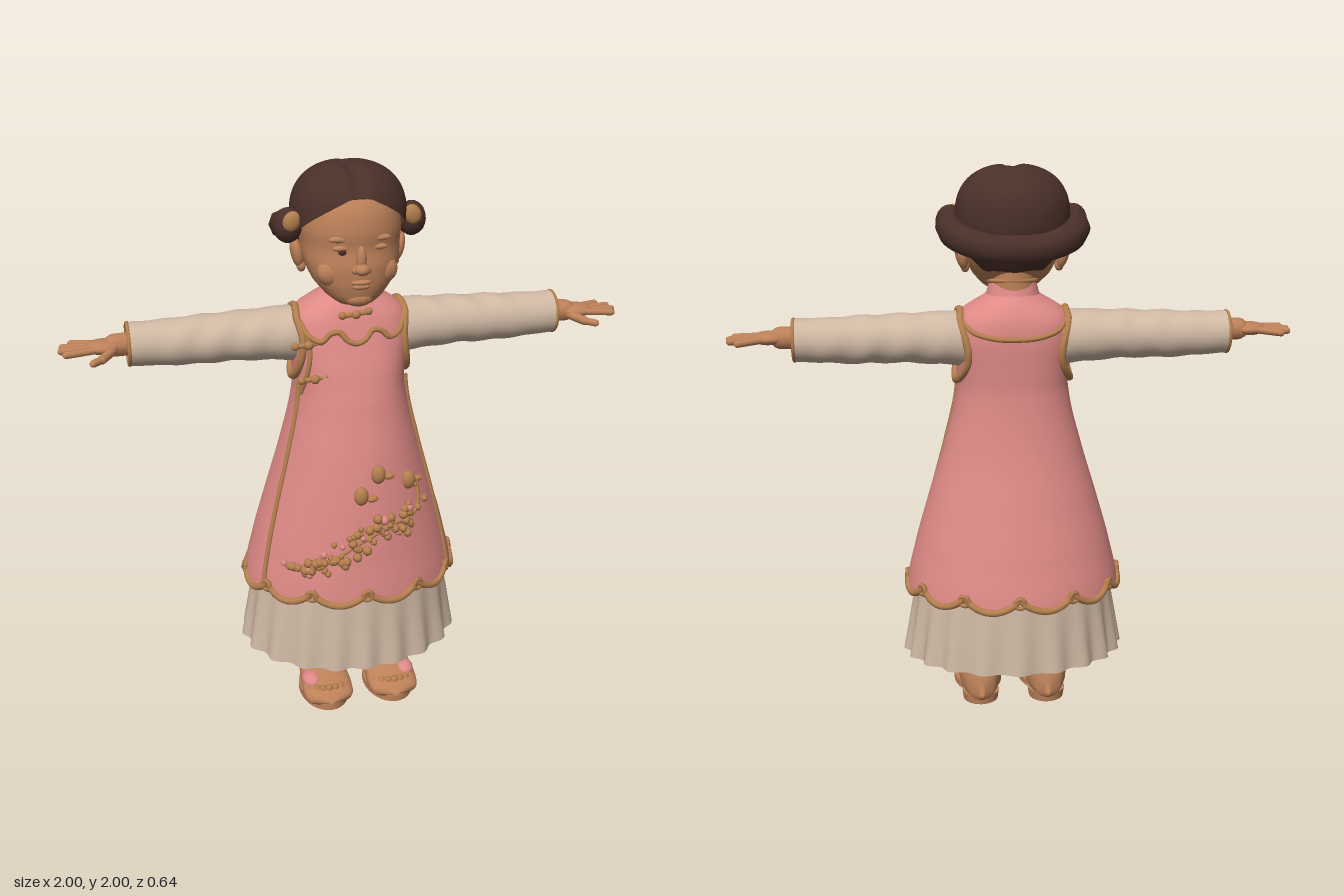
import * as THREE from 'three';

const mat = (name, color, side = THREE.FrontSide) => {
  const m = new THREE.MeshStandardMaterial({ color, side });
  m.name = name;
  return m;
};

// Smooth surface closed in u: fn(angle, v) -> [x, y, z]
function skin(fn, nu, nv) {
  const pos = [], idx = [];
  for (let j = 0; j <= nv; j++)
    for (let i = 0; i < nu; i++) pos.push(...fn(i / nu * Math.PI * 2, j / nv));
  for (let j = 0; j < nv; j++)
    for (let i = 0; i < nu; i++) {
      const k = (i + 1) % nu, a = j * nu + i, b = j * nu + k, c = a + nu, d = b + nu;
      idx.push(a, c, b, b, c, d);
    }
  const g = new THREE.BufferGeometry();
  g.setAttribute('position', new THREE.Float32BufferAttribute(pos, 3));
  g.setIndex(idx);
  g.computeVertexNormals();
  return g;
}

// Smoothly interpolated table row; first column is the key, in one direction
function row(rows, key) {
  const dir = Math.sign(rows[1][0] - rows[0][0]);
  let i = 0;
  while (i < rows.length - 2 && (key - rows[i + 1][0]) * dir > 0) i++;
  const f = THREE.MathUtils.clamp((key - rows[i][0]) / (rows[i + 1][0] - rows[i][0]), 0, 1);
  const at = k => rows[Math.max(0, Math.min(rows.length - 1, k))];
  return rows[i].map((a, c) => {
    const b = rows[i + 1][c];
    const m0 = (b - at(i - 1)[c]) / 2, m1 = (at(i + 2)[c] - a) / 2;
    const f2 = f * f, f3 = f2 * f;
    return a * (2 * f3 - 3 * f2 + 1) + m0 * (f3 - 2 * f2 + f) + b * (3 * f2 - 2 * f3) + m1 * (f3 - f2);
  });
}
const pw = (v, e) => Math.sign(v) * Math.abs(v) ** e;

// Dress sections: y, half width, front z, back z, roundness power
const DRESS = [[1.57, .08, .08, .09, 2], [1.54, .115, .09, .115, 2.1], [1.51, .17, .105, .135, 2.3],
  [1.47, .2, .12, .15, 2.6], [1.4, .207, .14, .155, 2.7], [1.3, .2, .172, .152, 2.5], [1.2, .202, .2, .152, 2.3],
  [1, .25, .245, .18, 2.1], [.8, .31, .278, .23, 2], [.6, .365, .3, .28, 2], [.45, .395, .315, .312, 2]];
function dressAt(t, y, out = 0) {
  const [, hx, zf, zb, n] = row(DRESS, y), c = Math.cos(t);
  return [pw(Math.sin(t), 2 / n) * (hx + out), y, pw(c, 2 / n) * ((c > 0 ? zf : zb) + out)];
}
function dressZ(x, y, back) {
  const [, hx, zf, zb, n] = row(DRESS, y);
  const q = Math.max(0, 1 - Math.min(1, Math.abs(x / hx)) ** n) ** (1 / n);
  return back ? -zb * q : zf * q;
}
const hemY = t => .515 - .05 * Math.abs(Math.sin(6 * t)) ** .7;

// Head sections: y, half width, front z, back z
const HEAD = [[1.96, .07, .09, -.09], [1.92, .13, .155, -.14], [1.87, .165, .188, -.16], [1.8, .175, .2, -.16],
  [1.74, .17, .196, -.15], [1.68, .162, .203, -.12], [1.62, .138, .2, -.07], [1.575, .1, .19, -.01],
  [1.548, .062, .172, .05], [1.54, .005, .125, .12]];

export function createModel() {
  const root = new THREE.Group();
  const pink = mat('dress pink', 0xdf8a86, THREE.DoubleSide), cream = mat('cream cloth', 0xcfb8a3, THREE.DoubleSide);
  const tan = mat('ochre trim', 0xb57f4e), flesh = mat('skin', 0xbd8159), hair = mat('hair brown', 0x4a3029, THREE.DoubleSide);
  const lining = mat('skirt lining', 0xa8744f, THREE.DoubleSide);

  const add = (name, geo, m, parent = root) => {
    const mesh = new THREE.Mesh(geo, m);
    mesh.name = name;
    parent.add(mesh);
    return mesh;
  };
  const ball = (name, m, p, r, parent = root, seg = 14) => {
    const b = add(name, new THREE.SphereGeometry(1, seg, Math.ceil(seg * .7)), m, parent);
    b.position.set(...p);
    b.scale.set(...(Array.isArray(r) ? r : [r, r, r]));
    return b;
  };
  const tube = (name, m, pts, r, closed = false, parent = root, seg = pts.length * 6) =>
    add(name, new THREE.TubeGeometry(new THREE.CatmullRomCurve3(pts.map(p => new THREE.Vector3(...p)), closed), seg, r, 8, closed), m, parent);
  const limb = (name, m, a, b, r, parent = root) => {
    const A = new THREE.Vector3(...a), B = new THREE.Vector3(...b), d = B.clone().sub(A);
    const c = add(name, new THREE.CapsuleGeometry(r, d.length(), 5, 10), m, parent);
    c.position.copy(A).add(B).multiplyScalar(.5);
    c.quaternion.setFromUnitVectors(new THREE.Vector3(0, 1, 0), d.normalize());
    return c;
  };

  // Dress with scalloped hem
  add('dress', skin((t, v) => dressAt(t, 1.57 + (hemY(t) - 1.57) * v), 144, 48), pink);
  const hem = Array.from({ length: 144 }, (_, i) => dressAt(i / 144 * Math.PI * 2, hemY(i / 144 * Math.PI * 2)));
  tube('hemTrim', tan, hem, .013, true, root, 288);
  for (let i = 0; i < 12; i++) {
    const t = i * Math.PI / 6, curl = add('hemCurl', new THREE.TorusGeometry(.018, .008, 6, 14), tan);
    curl.position.set(...dressAt(t, .5, .005));
    curl.rotation.y = t;
  }

  // Pleated underskirt and its closed lining
  add('underskirt', skin((t, v) => {
    const f = 1 + .03 * v * Math.cos(20 * t + .6 * Math.sin(3 * t)), c = Math.cos(t);
    return [Math.sin(t) * (.35 + .05 * v) * f, .54 + (.205 - .015 * c - .54) * v, c * (.285 + .025 * v) * f];
  }, 160, 12), cream);
  add('skirtLining', skin((t, v) => [Math.sin(t) * (.01 + .375 * v), .27 - .04 * v, Math.cos(t) * (.01 + .28 * v)], 48, 4), lining);

  // Seams, yoke trims and collar
  for (const s of [1, -1]) {
    tube('sideSeam', tan, Array.from({ length: 12 }, (_, i) => dressAt(s * (1.1 + .015 * i), .5 + i * .068, .002)), .009);
    tube('armholeTrim', tan, Array.from({ length: 20 }, (_, i) => {
      const a = i / 20 * Math.PI * 2, y = 1.375 + .125 * Math.sin(a), z = -.01 + .11 * Math.cos(a);
      const [, hx, zf, zb, n] = row(DRESS, y);
      return [s * (hx * Math.max(.3, 1 - Math.abs(z / (z > 0 ? zf : zb)) ** n) ** (1 / n) + .006), y, z];
    }), .014, true);
  }
  const onDress = (pts, back) => pts.map(([x, y]) => [x, y, dressZ(x, y, back) + (back ? -.003 : .003)]);
  const wave = [[.185, 1.47], [.16, 1.425], [.12, 1.41], [.09, 1.435], [.06, 1.44], [.03, 1.41]];
  tube('yokeTrimFront', tan, onDress([...wave.map(([x, y]) => [-x, y]), [0, 1.4], ...[...wave].reverse()]), .01);
  tube('yokeTrimBack', tan, onDress([[-.185, 1.48], [-.15, 1.445], [-.08, 1.425], [0, 1.42], [.08, 1.425], [.15, 1.445], [.185, 1.48]], true), .009);
  tube('sideClosing', tan, onDress([[-.165, 1.43], [-.16, 1.36], [-.17, 1.29], [-.188, 1.21]]), .009);
  add('collar', skin((t, v) => [Math.sin(t) * (.082 + .014 * v), 1.6 - .055 * v - .012 * Math.cos(t), Math.cos(t) * (.078 + .015 * v) - .006], 40, 3), pink);
  tube('collarTrim', tan, Array.from({ length: 20 }, (_, i) => {
    const t = i / 20 * Math.PI * 2;
    return [Math.sin(t) * .083, 1.6 - .012 * Math.cos(t), Math.cos(t) * .079 - .006];
  }), .008, true);
  for (const [x, y] of [[0, 1.5], [-.15, 1.285], [-.165, 1.4]]) {
    const z = dressZ(x, y) + .012;
    limb('knotLoop', tan, [x - .045, y - .008, z - .008], [x + .045, y + .004, z], .009);
    ball('knotButton', tan, [x, y, z + .008], .016);
    ball('knotEnd', tan, [x + .045, y + .006, z], .014);
    ball('knotEnd', tan, [x - .045, y - .006, z - .006], .014);
  }

  // Raised blossoms on the front panel
  let seed = 7;
  const rnd = () => (seed = (seed * 16807) % 2147483647) / 2147483647;
  const spray = [[-.25, .59, .02], [-.14, .63, .035], [-.03, .7, .045], [.08, .75, .05], [.2, .78, .05], [.21, .9, .03]];
  for (let i = 0; i < 84; i++) {
    const [k, y0, w] = row(spray, -.25 + .46 * i / 83), x = k + (rnd() - .5) * .06, y = y0 + (rnd() - .5) * 2 * w;
    const r = .009 + rnd() * .009;
    ball('blossom', i % 7 ? tan : pink, [x, y, dressZ(x, y) + .006], [r, r, r * 1.2], root, 8);
  }
  tube('blossomBranch', tan, onDress(spray.map(p => [p[0], p[1]])), .007);
  for (const [x, y] of [[-.015, .88], [.05, .95], [.17, .9]]) {
    ball('petal', tan, [x, y, dressZ(x, y) + .008], [.026, .035, .02]);
    ball('petal', tan, [x + .04, y - .015, dressZ(x + .04, y) + .006], [.022, .012, .014]);
  }

  // Neck and head
  const neck = add('neck', new THREE.CylinderGeometry(.075, .08, .16, 28), flesh);
  neck.position.set(0, 1.6, -.015);
  add('head', skin((t, v) => {
    const y = 1.96 - .42 * v, [, hx, zf, zb] = row(HEAD, y), mid = (zf + zb) / 2;
    return [Math.sin(t) * hx, y, mid + pw(Math.cos(t), .9) * (zf - zb) / 2];
  }, 56, 48), flesh);
  ball('noseBridge', flesh, [0, 1.715, .198], [.018, .045, .02]);
  ball('noseTip', flesh, [0, 1.682, .212], [.026, .02, .026]);
  ball('chin', flesh, [0, 1.572, .165], [.05, .03, .03]);
  ball('upperLip', flesh, [0, 1.635, .199], [.036, .01, .014]);
  ball('lowerLip', flesh, [0, 1.62, .197], [.03, .011, .014]);
  ball('eye', hair, [-.062, 1.738, .189], [.014, .01, .005]);
  for (const s of [1, -1]) {
    ball('nostril', flesh, [s * .02, 1.678, .202], [.014, .013, .016]);
    ball('cheek', flesh, [s * .085, 1.66, .14], [.055, .05, .04]);
    ball('eyelid', flesh, [s * .062, 1.75, .18], [.032, .011, .012]);
    ball('brow', flesh, [s * .065, 1.78, .178], [.042, .012, .014]);
    ball('ear', flesh, [s * .178, 1.695, 0], [.022, .056, .036]).rotation.z = -s * .2;
    ball('earLobe', flesh, [s * .165, 1.65, .008], [.016, .022, .02]);
  }

  // Parted hair cap, high over the brow and low at the nape
  const line = [[0, 1.925], [.35, 1.895], [.8, 1.845], [1.2, 1.79], [1.6, 1.73], [2, 1.65], [2.6, 1.65], [3.2, 1.65]];
  add('hairCap', skin((t, v) => {
    const a = t > Math.PI ? 2 * Math.PI - t : t, yb = row(line, a)[1];
    const y = 2 - (2 - yb) * (1 - Math.cos(v * Math.PI / 2));
    const h = y - 1.82, r = h > 0 ? Math.max(0, 1 - (h / .18) ** 2.4) ** (1 / 2.4) : 1 - .38 * (h / .17) ** 2;
    const x = Math.sin(t) * r * .2, z = Math.cos(t) * r * (Math.cos(t) > 0 ? .208 : .192);
    return [x, y - .014 * Math.exp(-((x / .025) ** 2)) * (z > -.02 ? 1 : .3), z];
  }, 96, 28), hair);
  // Coiled roll around the back with tied ends
  const side = [[.212, 1.805, .035], [.216, 1.785, -.04], [.18, 1.765, -.13], [.1, 1.745, -.185]];
  tube('hairRoll', hair, [...side, [0, 1.74, -.2], ...[...side].reverse().map(([x, y, z]) => [-x, y, z])], .05, false, root, 70);
  for (const s of [1, -1]) {
    ball('hairBun', hair, [s * .215, 1.8, .035], [.05, .06, .05]);
    ball('hairTie', tan, [s * .208, 1.822, .075], [.03, .036, .018]).rotation.z = s * .4;
  }

  // Arms and hands, mirrored
  const SLEEVE = [[.15, 1.4, .1, .1], [.25, 1.403, .093, .1], [.4, 1.405, .086, .092], [.55, 1.402, .084, .085], [.68, 1.402, .078, .078], [.765, 1.405, .076, .076]];
  for (const s of [1, -1]) {
    const arm = new THREE.Group();
    arm.name = s > 0 ? 'leftArm' : 'rightArm';
    arm.scale.x = s;
    root.add(arm);
    add('sleeve', skin((t, v) => {
      const x = .15 + .615 * v, [, y, ry, rz] = row(SLEEVE, x);
      const w = 1 + .03 * Math.sin(48 * x + 3 * Math.sin(t + .5)) * Math.sin(Math.PI * v);
      return [x, y + Math.cos(t) * ry * w, -.02 - Math.sin(t) * rz * w];
    }, 36, 48), cream, arm);
    const rim = add('cuffTrim', new THREE.TorusGeometry(.072, .007, 8, 32), tan, arm);
    rim.position.set(.765, 1.405, -.02);
    rim.rotation.y = Math.PI / 2;
    const cap = add('cuffLining', new THREE.CircleGeometry(.072, 28), lining, arm);
    cap.position.set(.745, 1.405, -.02);
    cap.rotation.y = Math.PI / 2;
    limb('wrist', flesh, [.72, 1.41, -.012], [.81, 1.41, -.005], .04, arm);
    ball('palm', flesh, [.85, 1.41, 0], [.065, .024, .052], arm);
    const tips = [[.955, -.066], [.985, -.032], [.99, .006], [.975, .045]];
    tips.forEach(([x, z], i) => limb('finger', flesh, [.875, 1.41, -.033 + i * .022], [x, 1.405, z], .0125, arm));
    limb('thumb', flesh, [.82, 1.402, .03], [.86, 1.392, .08], .016, arm);
    limb('thumbTip', flesh, [.86, 1.392, .08], [.89, 1.39, .105], .013, arm);
  }

  // Legs and shoes, mirrored
  const FOOT = [[-.115, .01, .08, .03], [-.1, .05, .15, .01], [-.04, .075, .165, .01], [.05, .08, .15, .01], [.12, .088, .12, .01], [.2, .094, .09, .01], [.255, .08, .068, .015], [.28, .01, .04, .03]];
  for (const s of [1, -1]) {
    const leg = new THREE.Group();
    leg.name = s > 0 ? 'leftLeg' : 'rightLeg';
    leg.position.x = s * .125;
    leg.scale.x = s;
    root.add(leg);
    const shin = add('ankle', new THREE.CylinderGeometry(.065, .072, .22, 24), flesh, leg);
    shin.position.set(0, .2, -.01);
    shin.scale.z = 1.3;
    add('shoe', skin((t, v) => {
      const z = -.115 + .395 * v, [, hx, top, low] = row(FOOT, z);
      return [Math.sin(t) * hx, (top + low) / 2 + pw(Math.cos(t), .8) * (top - low) / 2, z];
    }, 32, 32), flesh, leg);
    const sole = add('sole', new THREE.CylinderGeometry(1, 1, .025, 32), flesh, leg);
    sole.position.set(0, .0125, .13);
    sole.scale.set(.092, 1, .145);
    const heel = add('heel', new THREE.CylinderGeometry(.07, .065, .035, 24), flesh, leg);
    heel.position.set(0, .0175, -.04);
    ball('sock', cream, [0, .115, .085], [.066, .04, .055], leg);
    ball('shoePatch', pink, [.055, .078, .165], [.036, .026, .05], leg);
    for (let i = -3; i <= 3; i++) ball('toeBead', tan, [i * .023, .072 - i * i * .0012, .235 - i * i * .003], .015, leg, 10);
  }
  return root;
}
